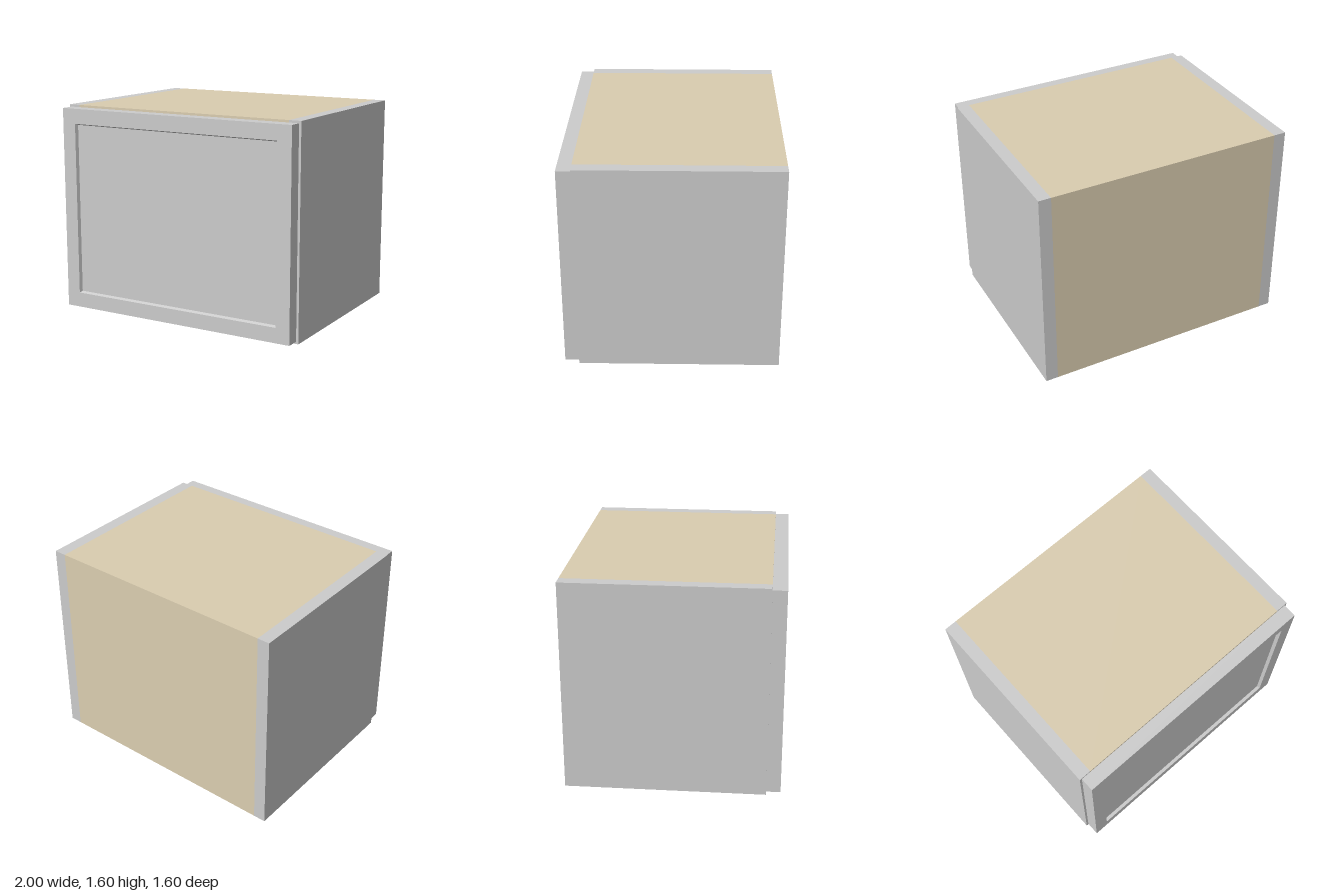
import * as THREE from 'three';

const grey = new THREE.MeshStandardMaterial({ color: 0xcccccc });
const beige = new THREE.MeshStandardMaterial({ color: 0xdacdb0 });

const HEIGHT = 1.6, BACK = -0.8, BODY_FRONT = 0.694, FRONT = 0.8;

function box(name, material, x0, x1, y0, y1, z0, z1) {
  const mesh = new THREE.Mesh(new THREE.BoxGeometry(x1 - x0, y1 - y0, z1 - z0), material);
  mesh.position.set((x0 + x1) / 2, (y0 + y1) / 2, (z0 + z1) / 2);
  mesh.name = name;
  return mesh;
}

// Joins rectangles [halfWidth, halfHeight, z] into a closed, flat-faced solid
function loftRectangles(rects) {
  const corners = [[-1, -1], [1, -1], [1, 1], [-1, 1]];
  const point = ([w, h, z], k) => [corners[k % 4][0] * w, corners[k % 4][1] * h, z];
  const positions = [];
  for (let i = 0; i < rects.length - 1; i++) {
    for (let k = 0; k < 4; k++) {
      const a = point(rects[i], k), b = point(rects[i], k + 1);
      const c = point(rects[i + 1], k + 1), d = point(rects[i + 1], k);
      if (rects[i][0] > 0) positions.push(...a, ...b, ...(rects[i + 1][0] > 0 ? c : d));
      if (rects[i + 1][0] > 0) positions.push(...a, ...c, ...d);
    }
  }
  const geometry = new THREE.BufferGeometry();
  geometry.setAttribute('position', new THREE.Float32BufferAttribute(positions, 3));
  geometry.computeVertexNormals();
  return geometry;
}

export function createModel() {
  const cabinet = new THREE.Group();
  cabinet.name = 'cabinet';

  // Carcass between the two side panels
  cabinet.add(box('carcass', beige, -0.905, 0.905, 0, HEIGHT, BACK, BODY_FRONT));
  cabinet.add(box('leftSide', grey, 0.905, 1, 0, HEIGHT, BACK, BODY_FRONT));
  cabinet.add(box('rightSide', grey, -1, -0.905, 0, HEIGHT, BACK, BODY_FRONT));

  // Door with a shallow recessed panel and sloping inner edge
  const recess = FRONT - 0.025;
  const door = new THREE.Mesh(loftRectangles([
    [0, 0, BODY_FRONT],
    [0.982, 0.783, BODY_FRONT],
    [0.982, 0.783, FRONT],
    [0.87, 0.668, FRONT],
    [0.86, 0.658, recess],
    [0, 0, recess],
  ]), grey);
  door.position.y = HEIGHT / 2;
  door.name = 'door';
  cabinet.add(door);

  return cabinet;
}
